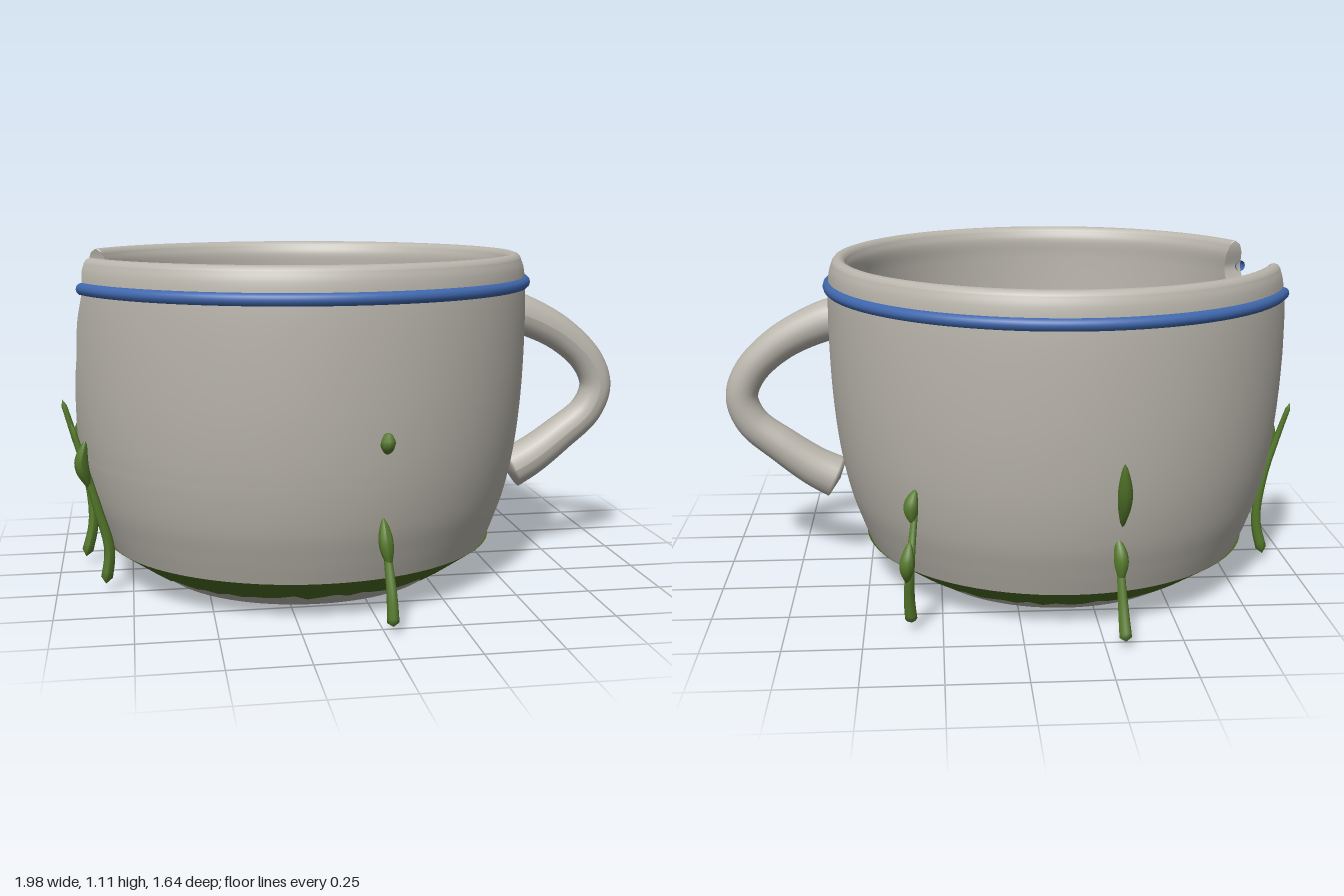
import * as THREE from 'three';

const CX = -0.16; // cup axis
const CUT_Y = 0.45, CUT_TOP = 0.385; // depth and half-angle of the broken gap

const mat = (name, color, side = THREE.FrontSide) => {
  const m = new THREE.MeshStandardMaterial({ color, side });
  m.name = name;
  return m;
};

// Half-angle of the gap at a height, slightly ragged
function gap(y, side) {
  if (y <= CUT_Y) return 0;
  const t = Math.min(1, (y - CUT_Y) / 0.57);
  return CUT_TOP * Math.pow(t, 0.55) + 0.012 * t * Math.sin(y * 31 + side * 2);
}

function buildGeometry(positions, index) {
  const g = new THREE.BufferGeometry();
  g.setAttribute('position', new THREE.Float32BufferAttribute(positions, 3));
  g.setIndex(index);
  g.computeVertexNormals();
  return g;
}

// Tube whose radius follows a rule along the path, closed at both ends
function taperedTube(points, radius, segments = 24, sides = 10) {
  const path = new THREE.CatmullRomCurve3(points.map(p => new THREE.Vector3(...p)));
  const g = new THREE.TubeGeometry(path, segments, 1, sides, false);
  const pos = g.attributes.position, v = new THREE.Vector3();
  for (let i = 0; i <= segments; i++) {
    const c = path.getPointAt(i / segments);
    const r = i === 0 || i === segments ? 0 : radius(i / segments);
    for (let j = 0; j <= sides; j++) {
      const k = i * (sides + 1) + j;
      v.fromBufferAttribute(pos, k).sub(c).multiplyScalar(r).add(c);
      pos.setXYZ(k, v.x, v.y, v.z);
    }
  }
  g.computeVertexNormals();
  return g;
}

export function createModel() {
  const model = new THREE.Group();
  model.name = 'brokenCup';
  const ceramic = mat('ceramic', 0xbab6ad);
  const blue = mat('blueGlaze', 0x4068ae, THREE.DoubleSide);
  const moss = mat('moss', 0x4a6a20, THREE.DoubleSide);
  const vineGreen = mat('vineGreen', 0x567a2c);
  const mint = mat('mint', 0x62d2a8);
  const add = (name, geometry, material, parent = model) => {
    const m = new THREE.Mesh(geometry, material);
    m.name = name;
    parent.add(m);
    return m;
  };

  const cup = new THREE.Group();
  cup.name = 'cup';
  cup.position.x = CX;
  model.add(cup);

  // Wall section: outer radius, height, inner radius
  const section = new THREE.CatmullRomCurve3([
    [0.665, 0.13, 0.42], [0.695, 0.21, 0.53], [0.728, 0.31, 0.62], [0.757, 0.45, 0.67],
    [0.776, 0.62, 0.695], [0.785, 0.82, 0.708], [0.784, 1.0, 0.712], [0.777, 1.07, 0.712],
    [0.766, 1.103, 0.724],
  ].map(p => new THREE.Vector3(...p)));
  const rows = section.getPoints(56);
  const profile = [
    ...rows.map(p => [p.x, p.y]),
    [0.758, 1.113], [0.745, 1.117], [0.732, 1.113],
    ...rows.slice(3).reverse().map(p => [p.z, p.y]),
    [0.3, 0.155], [0, 0.15],
  ];

  // Double-sided wall swept round the axis, leaving the gap open
  const COLS = 112, wallPos = [], wallIdx = [];
  profile.forEach(([r, y], i) => {
    const a0 = Math.PI + gap(y, 0), a1 = 3 * Math.PI - gap(y, 1);
    for (let j = 0; j <= COLS; j++) {
      const a = a0 + (a1 - a0) * j / COLS;
      wallPos.push(r * Math.cos(a), y, r * Math.sin(a));
      if (i < profile.length - 1 && j < COLS) {
        const p = i * (COLS + 1) + j, q = p + COLS + 1;
        wallIdx.push(p, q, p + 1, q, q + 1, p + 1);
      }
    }
  });
  add('cupWall', buildGeometry(wallPos, wallIdx), ceramic, cup);

  // Broken edges closing the wall thickness on either side of the gap
  const cutRows = rows.filter(p => p.y > CUT_Y - 0.02);
  cutRows.push(new THREE.Vector3(0.745, 1.117, 0.745));
  for (const side of [0, 1]) {
    const pos = [], idx = [];
    cutRows.forEach((p, i) => {
      const a = side ? 3 * Math.PI - gap(p.y, 1) : Math.PI + gap(p.y, 0);
      for (const r of [p.x, p.z]) pos.push(r * Math.cos(a), p.y, r * Math.sin(a));
      if (i < cutRows.length - 1) {
        const o = i * 2;
        if (side) idx.push(o, o + 2, o + 1, o + 1, o + 2, o + 3);
        else idx.push(o, o + 1, o + 2, o + 1, o + 3, o + 2);
      }
    });
    add(side ? 'brokenEdgeBack' : 'brokenEdgeFront', buildGeometry(pos, idx), ceramic, cup);
  }

  // Tapered foot
  add('foot', new THREE.CylinderGeometry(0.665, 0.48, 0.125, 80).translate(0, 0.0675, 0), ceramic, cup);

  // Moss skin round the foot with a ragged lower edge
  const N = 80;
  const mossGeo = new THREE.CylinderGeometry(0.672, 0.56, 0.1, N, 1, true);
  const mp = mossGeo.attributes.position;
  for (let k = 0; k < mp.count; k++) {
    const top = mp.getY(k) > 0, j = k % (N + 1) % N;
    const y = top ? 0.134 : 0.053 + 0.007 * Math.sin(j * 2.6) + 0.007 * Math.sin(j * j * 1.7);
    const r = 0.48 + 0.185 * (y - 0.005) / 0.125 + (top ? 0.002 : 0.007);
    const a = j / N * Math.PI * 2;
    mp.setXYZ(k, r * Math.sin(a), y, r * Math.cos(a));
  }
  mossGeo.computeVertexNormals();
  add('mossBand', mossGeo, moss, cup);

  // Blue band, open at the gap
  const arc = 2 * Math.PI - 2 * CUT_TOP;
  add('blueBand', new THREE.TorusGeometry(0.78, 0.02, 12, 112, arc)
    .rotateZ(Math.PI + CUT_TOP).rotateX(Math.PI / 2).translate(0, 1.02, 0), blue, cup);

  // Handle
  add('handle', taperedTube([
    [0.57, 0.905, 0], [0.65, 0.885, 0], [0.80, 0.81, 0], [0.905, 0.71, 0], [0.938, 0.62, 0],
    [0.905, 0.53, 0], [0.80, 0.44, 0], [0.69, 0.36, 0], [0.605, 0.315, 0],
  ], t => 0.056 + 0.02 * Math.pow(Math.abs(2 * t - 1), 1.5), 80, 20), ceramic);

  // Vines: thick stem narrowing to a tip, plus pointed leaves
  const stem = t => 0.02 * (1 - 0.55 * t);
  const leaf = t => 0.004 + 0.019 * Math.sin(Math.PI * t);
  const vines = [
    { stem: [[-0.915, 0.03, -0.1], [-0.885, 0.16, -0.1], [-0.9, 0.32, -0.11], [-0.945, 0.48, -0.11], [-0.98, 0.6, -0.12]],
      leaves: [[[-0.9, 0.38, -0.1], [-0.92, 0.47, -0.09], [-0.9, 0.57, -0.08]]] },
    { stem: [[-0.84, 0.03, 0.23], [-0.825, 0.15, 0.24], [-0.86, 0.3, 0.25], [-0.9, 0.45, 0.25], [-0.935, 0.58, 0.24]],
      leaves: [[[-0.88, 0.36, 0.25], [-0.905, 0.45, 0.27], [-0.89, 0.53, 0.28]]] },
    { stem: [[0.35, 0.03, -0.62], [0.355, 0.12, -0.64], [0.35, 0.24, -0.665], [0.34, 0.34, -0.63], [0.33, 0.42, -0.6]],
      leaves: [[[0.34, 0.36, -0.62], [0.345, 0.42, -0.612], [0.33, 0.47, -0.6]],
        [[0.36, 0.18, -0.66], [0.36, 0.25, -0.68], [0.35, 0.32, -0.66]]] },
    { stem: [[-0.31, 0.03, -0.8], [-0.305, 0.12, -0.765], [-0.3, 0.22, -0.735], [-0.3, 0.32, -0.7]],
      leaves: [[[-0.3, 0.38, -0.735], [-0.3, 0.48, -0.775], [-0.29, 0.61, -0.82]],
        [[-0.3, 0.2, -0.74], [-0.3, 0.27, -0.73], [-0.29, 0.34, -0.71]]] },
    { stem: [[0.022, 0.03, 0.8], [0.02, 0.12, 0.785], [0.015, 0.22, 0.75], [0.005, 0.34, 0.71]],
      leaves: [[[0.02, 0.2, 0.755], [0.01, 0.27, 0.745], [0.005, 0.35, 0.72]],
        [[0.01, 0.55, 0.74], [0.01, 0.6, 0.765], [0.01, 0.61, 0.74]]] },
  ];
  vines.forEach((v, i) => {
    const g = new THREE.Group();
    g.name = 'vine' + (i + 1);
    model.add(g);
    add('stem', taperedTube(v.stem, stem, 24, 8), vineGreen, g);
    v.leaves.forEach(l => add('leaf', taperedTube(l, leaf, 14, 8), vineGreen, g));
  });

  // Bubbles resting in the bottom of the cup: x, z, radius
  const bubbles = new THREE.Group();
  bubbles.name = 'bubbles';
  model.add(bubbles);
  [
    [-0.38, -0.455, 0.045], [-0.22, -0.38, 0.053], [-0.4, -0.23, 0.05], [-0.675, -0.09, 0.06],
    [-0.605, -0.1, 0.041], [-0.468, -0.045, 0.051], [-0.32, -0.012, 0.038], [-0.305, 0.015, 0.045],
    [-0.54, 0.16, 0.053], [-0.305, 0.16, 0.056], [-0.185, 0.19, 0.037], [0.122, 0.08, 0.039],
    [0.23, 0.153, 0.055], [-0.307, 0.39, 0.043], [-0.025, 0.37, 0.052], [-0.14, 0.545, 0.04],
  ].forEach(([x, z, r]) => {
    add('bubble', new THREE.SphereGeometry(r, 20, 14), mint, bubbles).position.set(x, 0.2, z);
  });

  return model;
}
